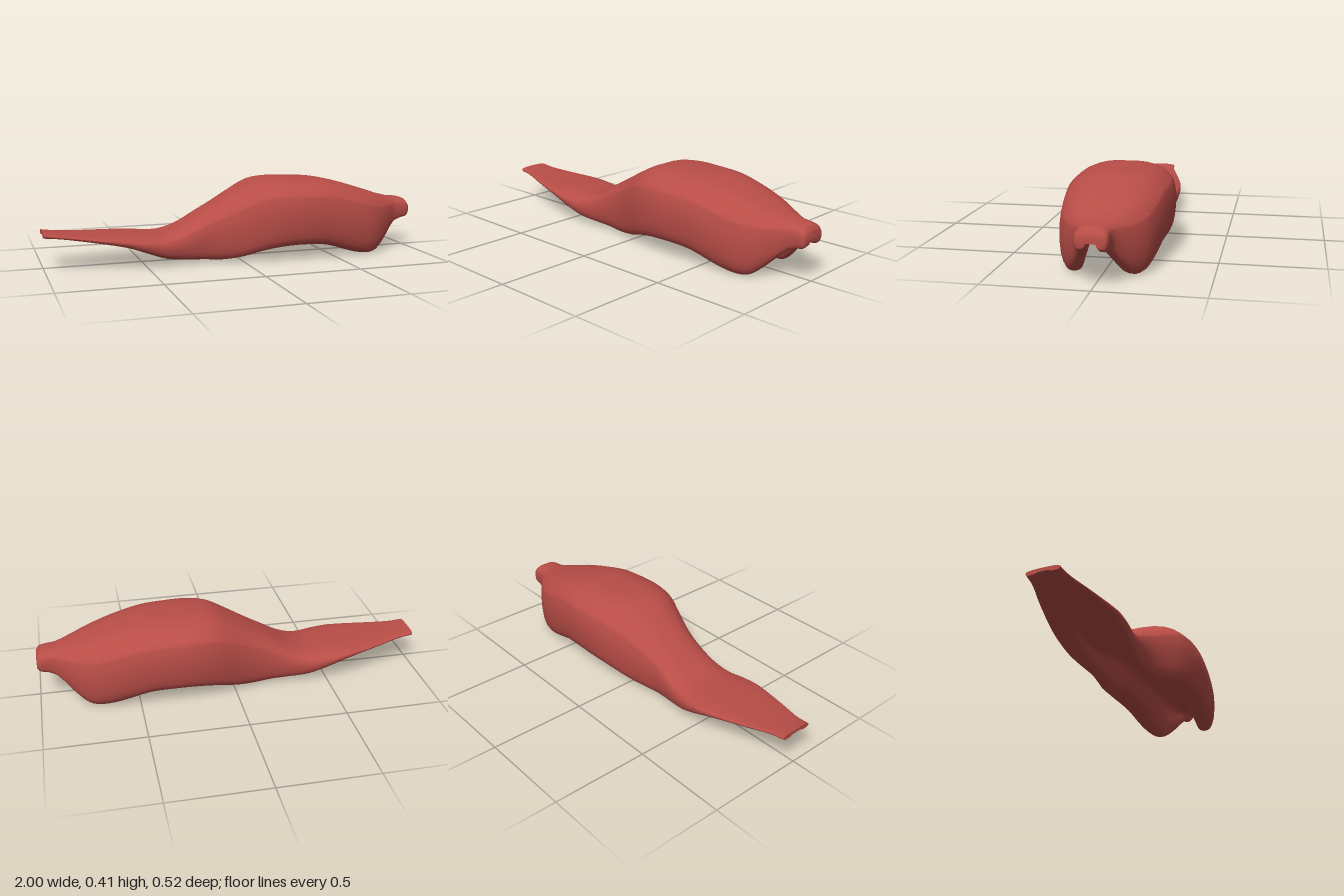
import * as THREE from 'three';
import { toCreasedNormals } from 'three/addons/utils/BufferGeometryUtils.js';

// Stations along the length: x, top, bottom of side lobes, groove ceiling,
// half width, lobe's lowest point as a fraction of the half width
const STATIONS = [
  [-1, 0.19, 0.165, 0.172, 0.085, 0.8],
  [-0.92, 0.178, 0.158, 0.164, 0.095, 0.8],
  [-0.8, 0.167, 0.143, 0.15, 0.13, 0.8],
  [-0.6, 0.16, 0.108, 0.12, 0.178, 0.8],
  [-0.5, 0.155, 0.073, 0.102, 0.184, 0.8],
  [-0.4, 0.155, 0.037, 0.095, 0.175, 0.78],
  [-0.3, 0.187, 0.024, 0.105, 0.164, 0.78],
  [-0.2, 0.245, 0.018, 0.13, 0.16, 0.78],
  [-0.1, 0.3, 0.013, 0.155, 0.174, 0.78],
  [0, 0.355, 0.028, 0.18, 0.204, 0.8],
  [0.1, 0.402, 0.058, 0.2, 0.238, 0.82],
  [0.2, 0.414, 0.075, 0.21, 0.257, 0.82],
  [0.32, 0.41, 0.08, 0.213, 0.262, 0.82],
  [0.45, 0.403, 0.068, 0.212, 0.252, 0.8],
  [0.6, 0.37, 0.02, 0.205, 0.235, 0.75],
  [0.7, 0.34, 0, 0.2, 0.214, 0.73],
  [0.76, 0.321, 0.01, 0.195, 0.188, 0.74],
  [0.82, 0.3, 0.06, 0.193, 0.15, 0.76],
  [0.9, 0.28, 0.14, 0.193, 0.09, 0.8],
  [0.95, 0.275, 0.163, 0.2, 0.078, 0.8],
  [0.985, 0.265, 0.17, 0.204, 0.075, 0.8],
  [1, 0.243, 0.185, 0.206, 0.066, 0.8],
];
// Half section: [fraction of half width, fraction of depth]; close points make the shoulder edge
const OUTER = [[0, 0], [0.4, 0.01], [0.73, 0.09], [0.91, 0.205], [0.935, 0.23], [0.95, 0.265], [1, 0.45], [0.975, 0.78]];
const INNER = [[0.54, 0.95], [0.45, 0.78], [0.39, 0.48], [0.35, 0.13], [0.24, 0.01], [0, 0]];

// Closed ring of [z, y] points, from the top centre round the left side
function section([, top, bottom, ceiling, w, low]) {
  const outer = [...OUTER, [(low + 1) / 2, 0.955], [low, 1]];
  const half = [
    ...outer.map(([u, t]) => [u * w, top + (bottom - top) * t]),
    ...INNER.map(([u, t]) => [u * w, ceiling + (bottom - ceiling) * t]),
  ];
  const mirrored = half.slice(1, -1).reverse().map(([z, y]) => [-z, y]);
  const curve = new THREE.CatmullRomCurve3(
    [...half, ...mirrored].map(([z, y]) => new THREE.Vector3(0, y, z)), true, 'centripetal');
  const n = (half.length + mirrored.length) * 2;
  return Array.from({ length: n }, (_, i) => curve.getPoint(i / n));
}

// Smooth interpolation of every station value
function sampleStations(steps) {
  const rows = [];
  const last = STATIONS.length - 1;
  for (let k = 0; k < last; k++) {
    const s = [Math.max(k - 1, 0), k, k + 1, Math.min(k + 2, last)].map((i) => STATIONS[i]);
    for (let j = 0; j < steps; j++) {
      const f = j / steps;
      rows.push(s[1].map((p, c) => {
        if (c === 0) return THREE.MathUtils.lerp(p, s[2][0], f);
        const h = s[2][0] - s[1][0];
        const m1 = (s[2][c] - s[0][c]) / (s[2][0] - s[0][0]) * h;
        const m2 = (s[3][c] - s[1][c]) / (s[3][0] - s[1][0]) * h;
        const f2 = f * f, f3 = f2 * f;
        return (2 * f3 - 3 * f2 + 1) * p + (f3 - 2 * f2 + f) * m1
          + (3 * f2 - 2 * f3) * s[2][c] + (f3 - f2) * m2;
      }));
    }
  }
  rows.push(STATIONS[last]);
  return rows;
}

function bodyGeometry() {
  const rows = sampleStations(3);
  const rings = rows.map(section);
  const n = rings[0].length;
  const positions = [];
  const index = [];
  rings.forEach((ring, j) => ring.forEach((p) => positions.push(rows[j][0], p.y, p.z)));
  // Skin between neighbouring sections
  for (let j = 0; j < rings.length - 1; j++) {
    for (let i = 0; i < n; i++) {
      const a = j * n + i, b = j * n + (i + 1) % n;
      index.push(a, b, b + n, a, b + n, a + n);
    }
  }
  // End caps
  const cap = (ring, start, flip) => {
    const outline = ring.map((p) => new THREE.Vector2(-p.z, p.y));
    for (const [a, b, c] of THREE.ShapeUtils.triangulateShape(outline, [])) {
      index.push(start + a, start + (flip ? c : b), start + (flip ? b : c));
    }
  };
  cap(rings[0], 0, true);
  cap(rings[rings.length - 1], (rings.length - 1) * n, false);
  const geometry = new THREE.BufferGeometry();
  geometry.setAttribute('position', new THREE.Float32BufferAttribute(positions, 3));
  geometry.setIndex(index);
  return toCreasedNormals(geometry, 0.9);
}

export function createModel() {
  const group = new THREE.Group();
  group.name = 'groovedMuscle';
  const red = new THREE.MeshStandardMaterial({ color: 0xb94d47 });
  red.name = 'muscle red';
  const body = new THREE.Mesh(bodyGeometry(), red);
  body.name = 'muscleBody';
  group.add(body);
  return group;
}
